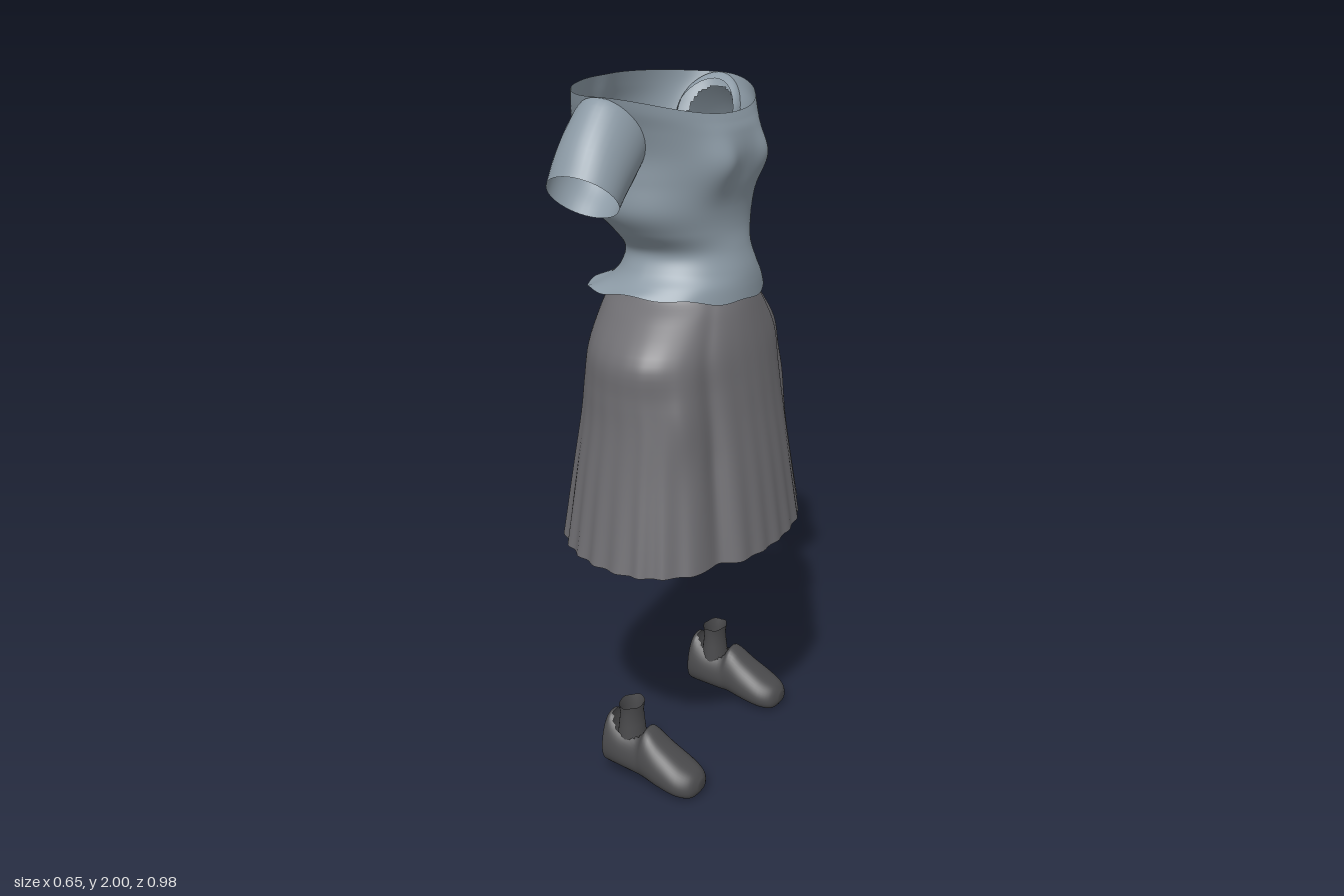
import * as THREE from 'three';

const makeMaterial = (name, color) => {
  const m = new THREE.MeshStandardMaterial({ color, side: THREE.DoubleSide });
  m.name = name;
  return m;
};

// Skin closed rings of points; skip(center) leaves holes, cap closes the ends
function loft(rings, { cap = false, skip = null } = {}) {
  const n = rings[0].length, pos = [], index = [];
  rings.forEach(r => r.forEach(p => pos.push(p.x, p.y, p.z)));
  const mid = new THREE.Vector3();
  for (let i = 0; i < rings.length - 1; i++) {
    for (let j = 0; j < n; j++) {
      const k = (j + 1) % n;
      mid.copy(rings[i][j]).add(rings[i][k]).add(rings[i + 1][j]).add(rings[i + 1][k]).multiplyScalar(0.25);
      if (skip && skip(mid)) continue;
      const a = i * n + j, b = i * n + k, c = a + n, d = b + n;
      index.push(a, c, b, b, c, d);
    }
  }
  if (cap) {
    for (const [row, flip] of [[0, false], [rings.length - 1, true]]) {
      const center = rings[row].reduce((s, p) => s.add(p), new THREE.Vector3()).divideScalar(n);
      const id = pos.length / 3;
      pos.push(center.x, center.y, center.z);
      for (let j = 0; j < n; j++) {
        const a = row * n + j, b = row * n + (j + 1) % n;
        if (flip) index.push(id, b, a);
        else index.push(id, a, b);
      }
    }
  }
  const g = new THREE.BufferGeometry();
  g.setAttribute('position', new THREE.Float32BufferAttribute(pos, 3));
  g.setIndex(index);
  g.computeVertexNormals();
  return g;
}

// Smoothly fill in rows between control rows (Catmull-Rom on every column)
function refine(rows, steps) {
  const out = [], last = rows.length - 1;
  for (let i = 0; i < last; i++) {
    const p = rows[Math.max(i - 1, 0)], a = rows[i], b = rows[i + 1], q = rows[Math.min(i + 2, last)];
    for (let s = 0; s < steps; s++) {
      const t = s / steps;
      out.push(a.map((v, c) => {
        const cubic = 3 * (v - b[c]) + q[c] - p[c];
        const square = 2 * p[c] - 5 * v + 4 * b[c] - q[c];
        return v + 0.5 * t * (b[c] - p[c] + t * (square + t * cubic));
      }));
    }
  }
  out.push(rows[last]);
  return out;
}

const bell = (v, w) => Math.exp(-(v * v) / (w * w));
const ringOf = (n, fn) => Array.from({ length: n }, (_, j) => fn((j / n) * Math.PI * 2));

// Oval with separate front and back depth, chest side towards +x
function oval(a, back, middle, front, half, e = 1) {
  const c = Math.cos(a), s = Math.sin(a);
  const x = middle + Math.sign(c) * Math.abs(c) ** e * (c > 0 ? front - middle : middle - back);
  return new THREE.Vector3(x, 0, half * Math.sign(s) * Math.abs(s) ** e);
}

function bodiceGeometry() {
  // yBack, ySide, yFront, xBack, xMiddle, xFront, halfWidth
  const rows = refine([
    [1.443, 1.46, 1.428, -0.25, -0.03, 0.22, 0.268],
    [1.475, 1.48, 1.47, -0.185, 0, 0.216, 0.236],
    [1.515, 1.515, 1.51, -0.15, 0, 0.208, 0.203],
    [1.565, 1.565, 1.565, -0.14, 0, 0.19, 0.188],
    [1.62, 1.62, 1.62, -0.165, -0.01, 0.177, 0.235],
    [1.69, 1.68, 1.68, -0.23, -0.03, 0.177, 0.275],
    [1.77, 1.76, 1.75, -0.268, -0.05, 0.19, 0.28],
    [1.84, 1.83, 1.82, -0.275, -0.06, 0.197, 0.285],
    [1.91, 1.9, 1.875, -0.264, -0.07, 0.188, 0.31],
    [1.96, 1.95, 1.905, -0.25, -0.07, 0.175, 0.333],
    [2, 1.985, 1.925, -0.24, -0.07, 0.165, 0.345],
  ], 8);
  const rings = rows.map(([yb, ys, yf, xb, xm, xf, hz], i) => ringOf(160, a => {
    const p = oval(a, xb, xm, xf, hz, 0.95), c = Math.cos(a);
    p.y = ys + ((c > 0 ? yf : yb) - ys) * c * c;
    // bust and shoulder blades
    if (c > 0) p.x += 0.028 * bell(p.y - 1.8, 0.065) * bell(Math.abs(p.z) - 0.12, 0.06);
    else p.x += 0.015 * bell(p.y - 1.88, 0.12) * bell(p.z, 0.05);
    // gentle ripple along the lower hem
    p.y += 0.004 * Math.sin(a * 9) * bell(i, 6);
    return p;
  }));
  // armholes
  const skip = m => Math.abs(m.z) > 0.2 && Math.hypot(m.x + 0.055, m.y - 1.87) < 0.075;
  return loft(rings, { skip });
}

function sleeveGeometry() {
  // top z, top y, bottom z, bottom y, half depth in x, how far the sides tuck into the body
  const rows = refine([
    [0.318, 1.968, 0.268, 1.78, 0.09, 0.045],
    [0.35, 1.984, 0.276, 1.762, 0.1, 0.035],
    [0.398, 1.94, 0.298, 1.735, 0.102, 0.018],
    [0.449, 1.876, 0.33, 1.706, 0.101, 0.006],
    [0.488, 1.808, 0.354, 1.683, 0.099, 0],
  ], 4);
  return loft(rows.map(([tz, ty, bz, by, hx, tuck]) => ringOf(40, a => {
    const k = (1 + Math.cos(a)) / 2, s = Math.sin(a);
    return new THREE.Vector3(-0.058 + hx * s, by + (ty - by) * k, bz + (tz - bz) * k - tuck * s * s);
  })));
}

function skirtGeometry() {
  // y, xBack, xMiddle, xFront, halfWidth
  const rows = refine([
    [0.73, -0.32, 0.06, 0.322, 0.428],
    [0.95, -0.288, 0.05, 0.29, 0.388],
    [1.1, -0.264, 0.05, 0.266, 0.366],
    [1.2, -0.25, 0.04, 0.252, 0.358],
    [1.3, -0.234, 0.04, 0.237, 0.35],
    [1.39, -0.215, 0.03, 0.218, 0.268],
    [1.44, -0.195, 0.02, 0.204, 0.208],
    [1.475, -0.15, 0.01, 0.19, 0.186],
  ], 5);
  return loft(rows.map(([y, xb, xm, xf, hz]) => ringOf(192, a => {
    const p = oval(a, xb, xm, xf, hz), t = (1.475 - y) / 0.74;
    const side = Math.abs(Math.atan2(Math.sin(a), Math.cos(a)));
    // pleats, the fold beside the front panel, and full hips
    const grow = 1 + 0.012 * t * t * Math.sin(a * 28 + 1.2 * Math.sin(a * 3))
      - 0.12 * Math.min(1, t * 1.6) * bell(side - 0.68, 0.1)
      + 0.05 * bell(y - 1.15, 0.1) * bell(side - 0.98, 0.16);
    return new THREE.Vector3(xm + (p.x - xm) * grow, y, p.z * grow);
  })));
}

function shoeGeometry() {
  // x, bottom, top, half width, sideways shift
  const rows = refine([
    [-0.107, 0.06, 0.12, 0.022, -0.008],
    [-0.094, 0.045, 0.185, 0.054, -0.006],
    [-0.075, 0.04, 0.203, 0.062, -0.006],
    [-0.03, 0.036, 0.168, 0.064, -0.005],
    [0.02, 0.03, 0.158, 0.066, -0.003],
    [0.045, 0.026, 0.178, 0.069, 0],
    [0.1, 0.014, 0.138, 0.076, 0.002],
    [0.16, 0.004, 0.1, 0.076, 0.003],
    [0.2, 0.004, 0.076, 0.056, 0.003],
    [0.217, 0.022, 0.054, 0.022, 0.003],
  ], 4);
  const rings = rows.map(([x, lo, hi, w, shift]) => ringOf(40, a => {
    const s = Math.sin(a), h = (1 - Math.cos(a)) / 2;
    const width = w * Math.sign(s) * Math.abs(s) ** 0.7 * (1.1 - 0.35 * h);
    return new THREE.Vector3(x, lo + (hi - lo) * h, shift + width);
  }));
  // opening for the foot
  const skip = m => m.y > 0.13 && Math.hypot((m.x + 0.022) / 0.055, (m.z + 0.005) / 0.042) < 1;
  return loft(rings, { cap: true, skip });
}

function ankleGeometry() {
  // y, half depth, half width, raggedness of the edge
  const rows = [
    [0.11, 0.045, 0.048, 0],
    [0.18, 0.036, 0.044, 0],
    [0.215, 0.032, 0.042, 0],
    [0.245, 0.035, 0.047, 0.002],
  ];
  return loft(rows.map(([y, rx, rz, rag]) => ringOf(24, a => {
    const edge = y - rag * (1 + Math.sin(a * 5));
    return new THREE.Vector3(-0.02 + rx * Math.cos(a), edge, -0.007 + rz * Math.sin(a));
  })));
}

export function createModel() {
  const model = new THREE.Group();
  const blouse = makeMaterial('blue grey cloth', 0x8b99a4);
  const skirt = makeMaterial('warm grey cloth', 0x6f6e72);
  const leather = makeMaterial('dark grey leather', 0x4a4a4c);
  const add = (parent, name, geometry, material) => {
    const mesh = new THREE.Mesh(geometry, material);
    mesh.name = name;
    parent.add(mesh);
    return mesh;
  };

  add(model, 'bodice', bodiceGeometry(), blouse);
  add(model, 'skirt', skirtGeometry(), skirt);

  // sleeves and shoes on both sides
  const sleeve = sleeveGeometry(), shoe = shoeGeometry(), ankle = ankleGeometry();
  for (const [label, s] of [['right', 1], ['left', -1]]) {
    add(model, label + 'Sleeve', sleeve, blouse).scale.z = s;
    const foot = new THREE.Group();
    foot.name = label + 'Foot';
    foot.position.z = 0.28 * s;
    foot.scale.z = s;
    add(foot, 'shoe', shoe, leather);
    add(foot, 'ankleCuff', ankle, leather);
    model.add(foot);
  }
  return model;
}
